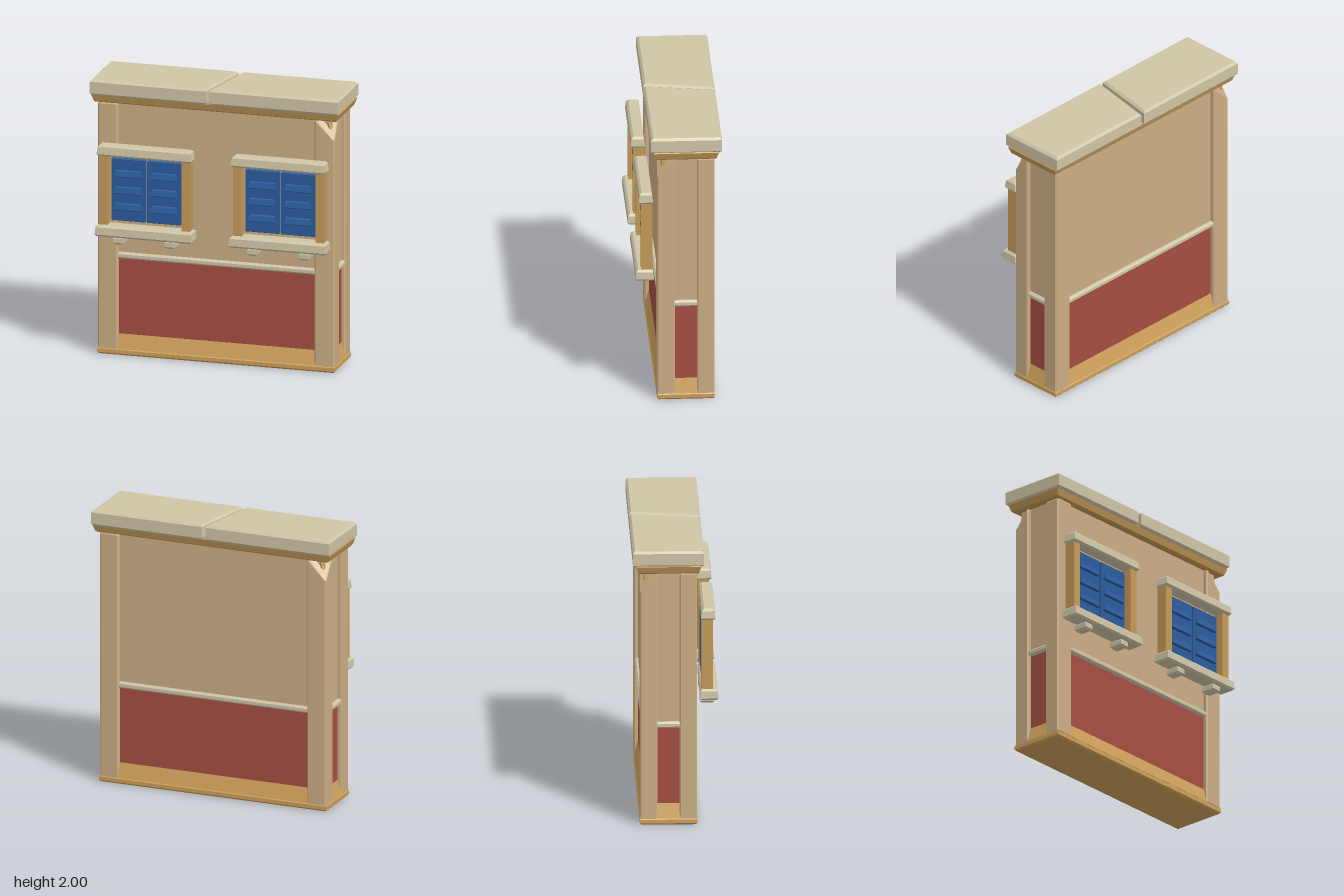
import * as THREE from 'three';
import { ConvexGeometry } from 'three/addons/geometries/ConvexGeometry.js';

const material = (name, color) => {
  const m = new THREE.MeshStandardMaterial({ color });
  m.name = name;
  return m;
};

// Upright prism from an x/z outline, all edges bevelled; inset narrows its top
function prism(points, y0, y1, bevel = 0.01, inset = 0) {
  const shape = new THREE.Shape(points.map(([x, z]) => new THREE.Vector2(x, z)));
  const geo = new THREE.ExtrudeGeometry(shape, {
    depth: y1 - y0 - 2 * bevel, bevelEnabled: bevel > 0, bevelThickness: bevel,
    bevelSize: bevel, bevelOffset: -bevel, bevelSegments: 1,
  });
  geo.rotateX(Math.PI / 2).translate(0, y1 - bevel, 0);
  if (inset) {
    geo.computeBoundingBox();
    const c = geo.boundingBox.getCenter(new THREE.Vector3());
    const p = geo.attributes.position;
    for (let i = 0; i < p.count; i++) {
      const t = inset * (p.getY(i) - y0) / (y1 - y0);
      p.setX(i, p.getX(i) - Math.sign(p.getX(i) - c.x) * t);
      p.setZ(i, p.getZ(i) - Math.sign(p.getZ(i) - c.z) * t);
    }
    geo.computeVertexNormals();
  }
  return geo;
}

const block = (x0, x1, y0, y1, z0, z1, bevel, inset) =>
  prism([[x0, z0], [x1, z0], [x1, z1], [x0, z1]], y0, y1, bevel, inset);

// Corner pillar about the wall centre; a chipped one loses its outer top corner
function pillar(sx, sz, chipped) {
  const X = 0.86, Z = 0.2, W = 0.145, D = 0.123, b = 0.01, y0 = 0.045, y1 = 1.83;
  const pts = [];
  const add = (x, y, z) => pts.push(new THREE.Vector3(sx * x, y, sz * z));
  const outer = [[X - b, Z], [X, Z - b]];
  const others = [[X - W + b, Z], [X - W, Z - b], [X - W, Z - D], [X, Z - D + b], [X - b, Z - D]];
  for (const [x, z] of [...outer, ...others]) add(x, y0, z);
  for (const [x, z] of others) {
    add(x, y1 - b, z);
    add(x + (x < X - W / 2 ? b : -b) * 0.6, y1, z + (z < Z - D / 2 ? b : -b) * 0.6);
  }
  for (const [x, z] of outer) {
    add(x, chipped ? y1 - 0.135 : y1 - b, z);
    if (!chipped) add(x - b / 2, y1, z - b / 2);
  }
  return new ConvexGeometry(pts);
}

export function createModel() {
  const root = new THREE.Group();
  root.name = 'shopWall';
  const plaster = material('tan plaster', 0xcbad84);
  const stone = material('pale stone', 0xcfc5a6);
  const red = material('red panel', 0xa64e41);
  const ochre = material('ochre base', 0xcda05a);
  const wood = material('golden wood', 0xc59a58);
  const blue = material('blue shutter', 0x2b5c9e);

  const add = (parent, name, geo, mat) => {
    const m = new THREE.Mesh(geo, mat);
    m.name = name;
    parent.add(m);
    return m;
  };

  // Base slab with a skirt sloping in to the recessed wall
  add(root, 'baseSlab', block(-0.863, 0.863, 0, 0.05, -0.25, 0.15, 0.012), ochre);
  add(root, 'baseSkirt', block(-0.86, 0.86, 0.045, 0.15, -0.247, 0.147, 0, 0.03), ochre);

  // Recessed wall, lower panel and dado rail
  add(root, 'lowerPanel', block(-0.83, 0.83, 0.15, 0.70, -0.217, 0.117, 0), red);
  add(root, 'upperWall', block(-0.83, 0.83, 0.70, 1.84, -0.217, 0.117, 0), plaster);
  add(root, 'dadoRail', block(-0.855, 0.855, 0.70, 0.745, -0.242, 0.142, 0.012), stone);

  // Four corner pillars, two on opposite corners chipped with a peg showing
  for (const sx of [-1, 1]) for (const sz of [-1, 1]) {
    const chipped = sx === sz;
    add(root, 'cornerPillar', pillar(sx, sz, chipped), plaster).position.z = -0.05;
    if (chipped) {
      const peg = add(root, 'exposedPeg', new THREE.CylinderGeometry(0.026, 0.016, 0.07, 6).toNonIndexed(), wood);
      peg.geometry.computeVertexNormals();
      peg.position.set(sx * 0.812, 1.802, -0.05 + sz * 0.152);
      peg.rotation.set(-sz * 0.3, 0, sx * 0.3);
    }
  }

  // Cornice, flaring towards the roof slabs
  add(root, 'cornice', block(-0.9, 0.9, 1.833, 1.895, -0.277, 0.177, 0.008).translate(0, -1.864, 0)
    .rotateX(0), wood).position.y = 1.864;
  const cornice = root.getObjectByName('cornice').geometry;
  const cp = cornice.attributes.position;
  for (let i = 0; i < cp.count; i++) if (cp.getY(i) < 0) {
    cp.setX(i, cp.getX(i) * 0.982);
    cp.setZ(i, -0.05 + (cp.getZ(i) + 0.05) * 0.94);
  }
  cornice.computeVertexNormals();

  // Two roof slabs with a slanted joint
  add(root, 'roofSlabLeft', prism([[-0.905, -0.3], [0.032, -0.3], [-0.06, 0.195], [-0.905, 0.195]],
    1.885, 2, 0.016), stone);
  add(root, 'roofSlabRight', prism([[0.06, -0.3], [0.902, -0.3], [0.902, 0.195], [-0.035, 0.195]],
    1.885, 2, 0.016), stone);

  // Shuttered windows
  for (const side of [-1, 1]) {
    const win = new THREE.Group();
    win.name = 'window';
    win.position.x = side * 0.487;
    root.add(win);
    add(win, 'lintel', block(-0.345, 0.345, 1.475, 1.555, 0.175, 0.28, 0.014, 0.01), stone);
    add(win, 'sill', block(-0.353, 0.353, 0.895, 0.975, 0.17, 0.3, 0.014, 0.006), stone);
    for (const s of [-1, 1]) {
      add(win, 'framePost', block(s * 0.3 - 0.031, s * 0.3 + 0.031, 0.965, 1.485, 0.18, 0.26, 0.005), wood);
      add(win, 'sillBracket', block(s * 0.188 - 0.037, s * 0.188 + 0.037, 0.84, 0.9, 0.172, 0.275, 0.014), stone);
      const cx = s * 0.13;
      add(win, 'shutter', block(cx - 0.123, cx + 0.123, 1.0, 1.45, 0.185, 0.215, 0.003), blue);
      for (let i = 0; i < 3; i++) {
        const y = 1.08 + i * 0.12;
        add(win, 'louver', block(cx - 0.102, cx + 0.102, y, y + 0.05, 0.195, 0.238, 0.005, 0.012), blue);
      }
    }
  }
  return root;
}
